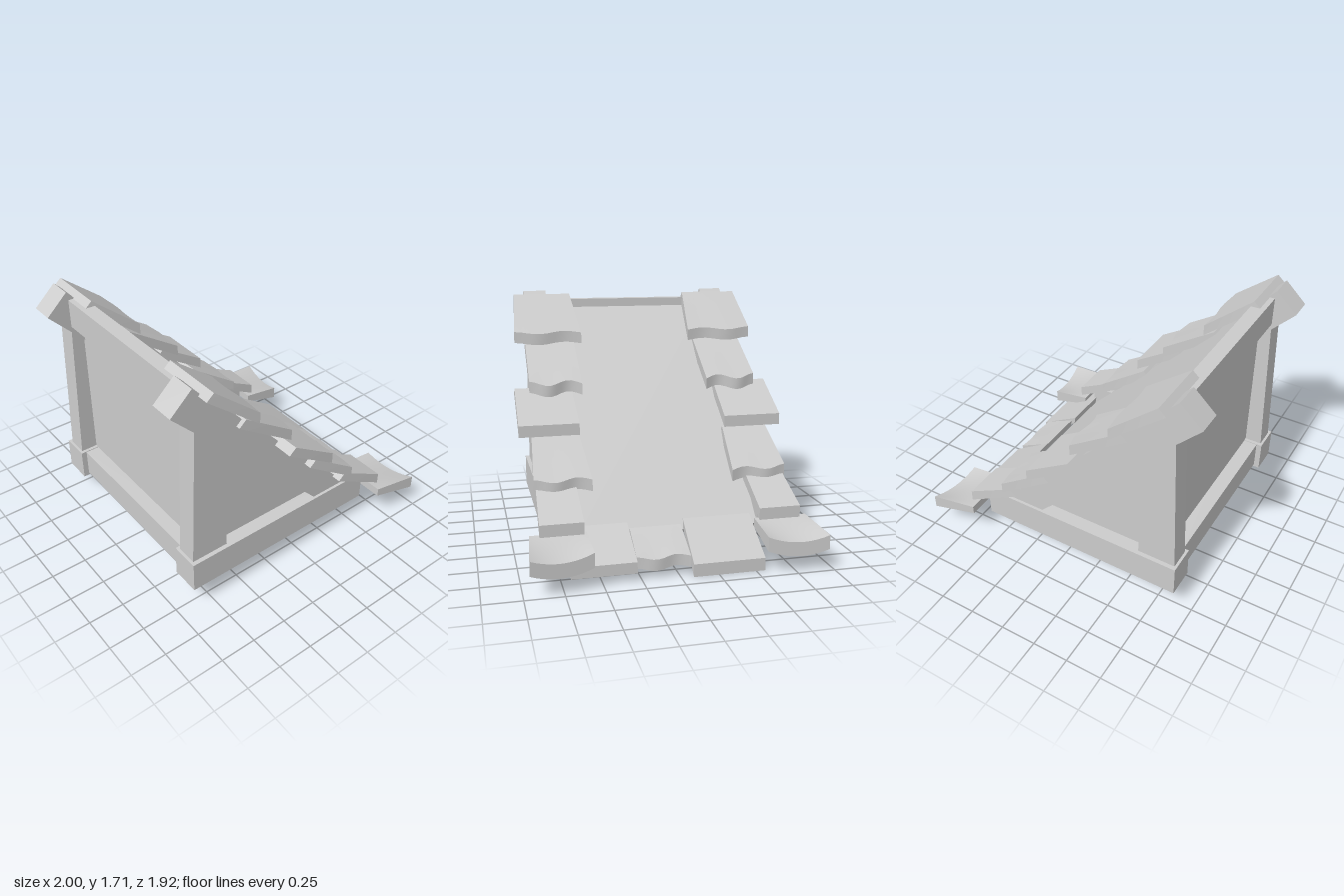
import * as THREE from 'three';
import { toCreasedNormals } from 'three/addons/utils/BufferGeometryUtils.js';

const grey = new THREE.MeshStandardMaterial({ color: 0xcccccc, side: THREE.DoubleSide });
const lerp = THREE.MathUtils.lerp;

// Side profile [x, y] pushed along z from z0 to z1
function slab(name, pts, z0, z1) {
  const shape = new THREE.Shape(pts.map(([x, y]) => new THREE.Vector2(x, y)));
  const geo = new THREE.ExtrudeGeometry(shape, { depth: z1 - z0, bevelEnabled: false });
  geo.translate(0, 0, z0);
  const mesh = new THREE.Mesh(geo, grey);
  mesh.name = name;
  return mesh;
}

const rect = (x0, x1, y0, y1) => [[x0, y0], [x1, y0], [x1, y1], [x0, y1]];

// Warped slate: top edge runs from a to b, z range widens from za to zb,
// wave ripples the lower end, lift curls up its sides
function tile(name, { a, b, za, zb, drop = [-0.05, -0.045], t = 0.08, wave = 0, lift = 0, skew = 0 }, side = 1) {
  const geo = new THREE.BoxGeometry(1, 1, 1, 4, 1, 10);
  const p = geo.attributes.position;
  for (let i = 0; i < p.count; i++) {
    const u = p.getX(i) + 0.5, low = 0.5 - p.getY(i);
    const v = side > 0 ? p.getZ(i) + 0.5 : 0.5 - p.getZ(i);
    const ripple = wave * Math.sin(v * Math.PI * 2.6 - 0.5) * u * u;
    const x = lerp(a[0] + low * drop[0], b[0], u) - ripple * 0.8 + skew * (v - 0.5) * u;
    const y = lerp(a[1] + low * drop[1], b[1] - low * t, u) + ripple * 0.6 + lift * (2 * v - 1) ** 2 * u;
    const z = lerp(lerp(za[0], za[1], v), lerp(zb[0], zb[1], v), u);
    p.setXYZ(i, x, y, side * z);
  }
  const mesh = new THREE.Mesh(toCreasedNormals(geo, 0.6), grey);
  mesh.name = name;
  return mesh;
}

export function createModel() {
  const group = new THREE.Group();
  group.name = 'leanToRoof';

  // Timber frame and slates, mirrored on both sides
  const vergeTiles = [
    { a: [-0.76, 1.69], b: [-0.44, 1.43], za: [0.45, 0.87], zb: [0.41, 0.9], wave: 0.015 },
    { a: [-0.49, 1.36], b: [-0.11, 1.11], za: [0.46, 0.82], zb: [0.46, 0.83], wave: 0.025 },
    { a: [-0.18, 1.07], b: [0.145, 0.87], za: [0.53, 0.93], zb: [0.52, 0.935] },
    { a: [0.09, 0.785], b: [0.435, 0.56], za: [0.52, 0.845], zb: [0.485, 0.87], wave: 0.018 },
    { a: [0.37, 0.53], b: [0.71, 0.36], za: [0.59, 0.855], zb: [0.585, 0.87] },
    { a: [0.66, 0.28], b: [0.97, 0.205], za: [0.565, 0.93], zb: [0.56, 0.96],
      drop: [0, -0.06], t: 0.095, lift: 0.04, skew: 0.05 },
  ];
  const sidePart = (name, pts, z0, z1, side) =>
    group.add(side > 0 ? slab(name, pts, z0, z1) : slab(name, pts, -z1, -z0));
  for (const side of [1, -1]) {
    const s = side > 0 ? 'left' : 'right';
    sidePart(s + 'BaseBeam', rect(-0.89, 0.6, 0.17, 0.39), 0.61, 0.81, side);
    sidePart(s + 'Rafter', [[-1, 1.57], [-0.85, 1.71], [0.6, 0.22], [0.6, 0.175], [0.36, 0.175]], 0.62, 0.79, side);
    sidePart(s + 'Post', [[-0.875, 0.3], [-0.6, 0.3], [-0.64, 1.25], [-0.835, 1.43]], 0.635, 0.78, side);
    sidePart(s + 'SideWall', [[-0.75, 0.3], [0.3, 0.3], [-0.75, 1.38]], 0.695, 0.715, side);
    vergeTiles.forEach((d, i) => group.add(tile(`${s}VergeTile${i + 1}`, d, side)));
  }

  // Members spanning between the two sides
  group.add(slab('roofPanel', [[-0.76, 1.61], [0.6, 0.22], [0.57, 0.19], [-0.79, 1.58]], -0.62, 0.62));
  group.add(slab('ridgeBeam', rect(-0.84, -0.74, 1.45, 1.65), -0.63, 0.63));
  group.add(slab('backBeam', rect(-0.85, -0.65, 0.19, 0.385), -0.62, 0.62));
  group.add(slab('backWall', rect(-0.75, -0.73, 0.3, 1.57), -0.65, 0.65));

  // Eave tiles along the low edge
  const eaveTiles = [
    { a: [0.59, 0.29], b: [0.9, 0.09], za: [-0.555, -0.09], zb: [-0.56, -0.08], t: 0.085 },
    { a: [0.61, 0.26], b: [0.855, 0.14], za: [-0.07, 0.275], zb: [-0.07, 0.28], t: 0.075, wave: 0.015 },
    { a: [0.58, 0.29], b: [0.875, 0.13], za: [0.285, 0.7], zb: [0.28, 0.7], t: 0.075 },
  ];
  eaveTiles.forEach((d, i) => group.add(tile(`eaveTile${i + 1}`, { drop: [0.01, -0.06], ...d })));
  return group;
}
